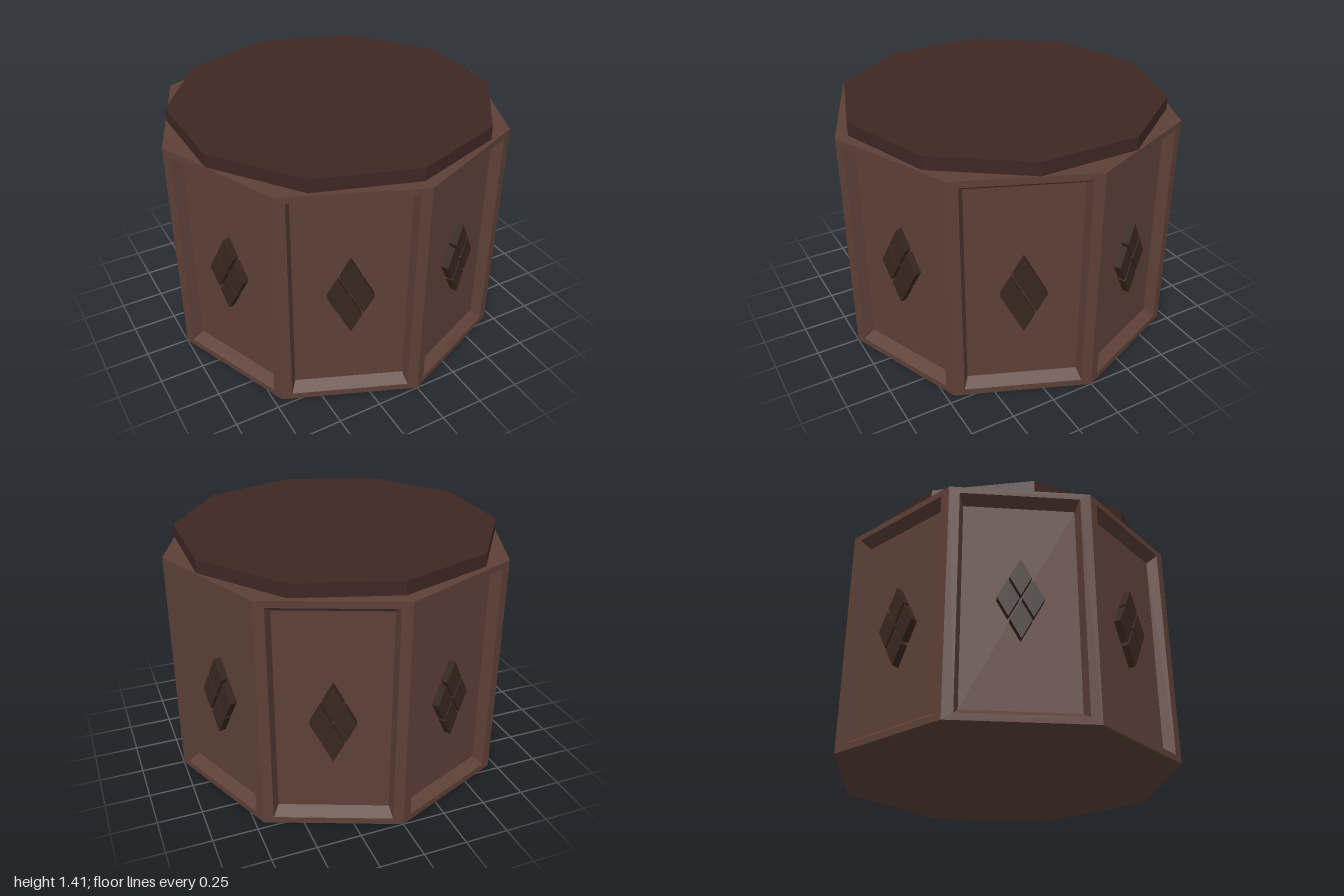
import * as THREE from 'three';

const SIDES = 8;
const HEIGHT = 1.335;
const APOTHEM = Math.cos(Math.PI / SIDES);
const HALF_SIDE = Math.sin(Math.PI / SIDES);
const RECESS = 0.061;

const material = (color) => new THREE.MeshStandardMaterial({ color, flatShading: true });

function addMesh(parent, name, geometry, mat) {
  const mesh = new THREE.Mesh(geometry, mat);
  mesh.name = name;
  parent.add(mesh);
  return mesh;
}

// One wall: flat border, sloped reveal and sunken panel, built from nested rectangles
function wallGeometry() {
  const loops = [
    [HALF_SIDE, HEIGHT / 2, 0],
    [0.325, 0.63, 0],
    [0.303, 0.59, -RECESS],
  ];
  const positions = [];
  const index = [];
  for (const [w, h, z] of loops) positions.push(-w, -h, z, w, -h, z, w, h, z, -w, h, z);
  for (let l = 0; l < loops.length - 1; l++) {
    for (let i = 0; i < 4; i++) {
      const a = l * 4 + i;
      const b = l * 4 + ((i + 1) % 4);
      index.push(a, b, b + 4, a, b + 4, a + 4);
    }
  }
  index.push(8, 9, 10, 8, 10, 11);
  const geometry = new THREE.BufferGeometry();
  geometry.setAttribute('position', new THREE.Float32BufferAttribute(positions, 3));
  geometry.setIndex(index);
  const flat = geometry.toNonIndexed();
  flat.computeVertexNormals();
  return flat;
}

// A small raised lozenge
function lozengeGeometry(w, h, depth) {
  const shape = new THREE.Shape();
  shape.moveTo(0, -h);
  shape.lineTo(w, 0);
  shape.lineTo(0, h);
  shape.lineTo(-w, 0);
  shape.closePath();
  return new THREE.ExtrudeGeometry(shape, { depth, bevelEnabled: false });
}

export function createModel() {
  const model = new THREE.Group();
  model.name = 'octagonalTable';
  const wood = material(0x5d4037);
  const darkWood = material(0x3e2723);
  const ornamentWood = material(0x38271f);

  const wall = wallGeometry();
  const lozenge = lozengeGeometry(0.058, 0.108, 0.043);
  // Ornament heights differ slightly between the two halves
  const ornamentY = [0.68, 0.63, 0.63, 0.63, 0.63, 0.68, 0.68, 0.68];

  // Eight panelled walls, each with a four-part diamond
  for (let i = 0; i < SIDES; i++) {
    const side = new THREE.Group();
    side.name = 'side' + (i + 1);
    side.rotation.y = ((i + 0.5) * 2 * Math.PI) / SIDES;
    addMesh(side, 'wallPanel', wall, wood).position.set(0, HEIGHT / 2, APOTHEM);

    const ornament = new THREE.Group();
    ornament.name = 'diamondOrnament';
    ornament.position.set(0, ornamentY[i], APOTHEM - RECESS);
    for (const [x, y] of [[0, 0.122], [0, -0.122], [0.065, 0], [-0.065, 0]]) {
      addMesh(ornament, 'lozenge', lozenge, ornamentWood).position.set(x, y, 0);
    }
    side.add(ornament);
    model.add(side);
  }

  // Top and bottom of the octagonal body
  const cap = new THREE.CircleGeometry(1, SIDES);
  const bodyTop = addMesh(model, 'bodyTop', cap, wood);
  bodyTop.rotation.x = -Math.PI / 2;
  bodyTop.position.y = HEIGHT;
  addMesh(model, 'bodyBottom', cap, wood).rotation.x = Math.PI / 2;

  // Ten-sided lid
  const lid = addMesh(model, 'lid', new THREE.CylinderGeometry(0.923, 0.923, 0.075, 10), darkWood);
  lid.position.set(0, HEIGHT + 0.0375, 0.006);

  return model;
}
